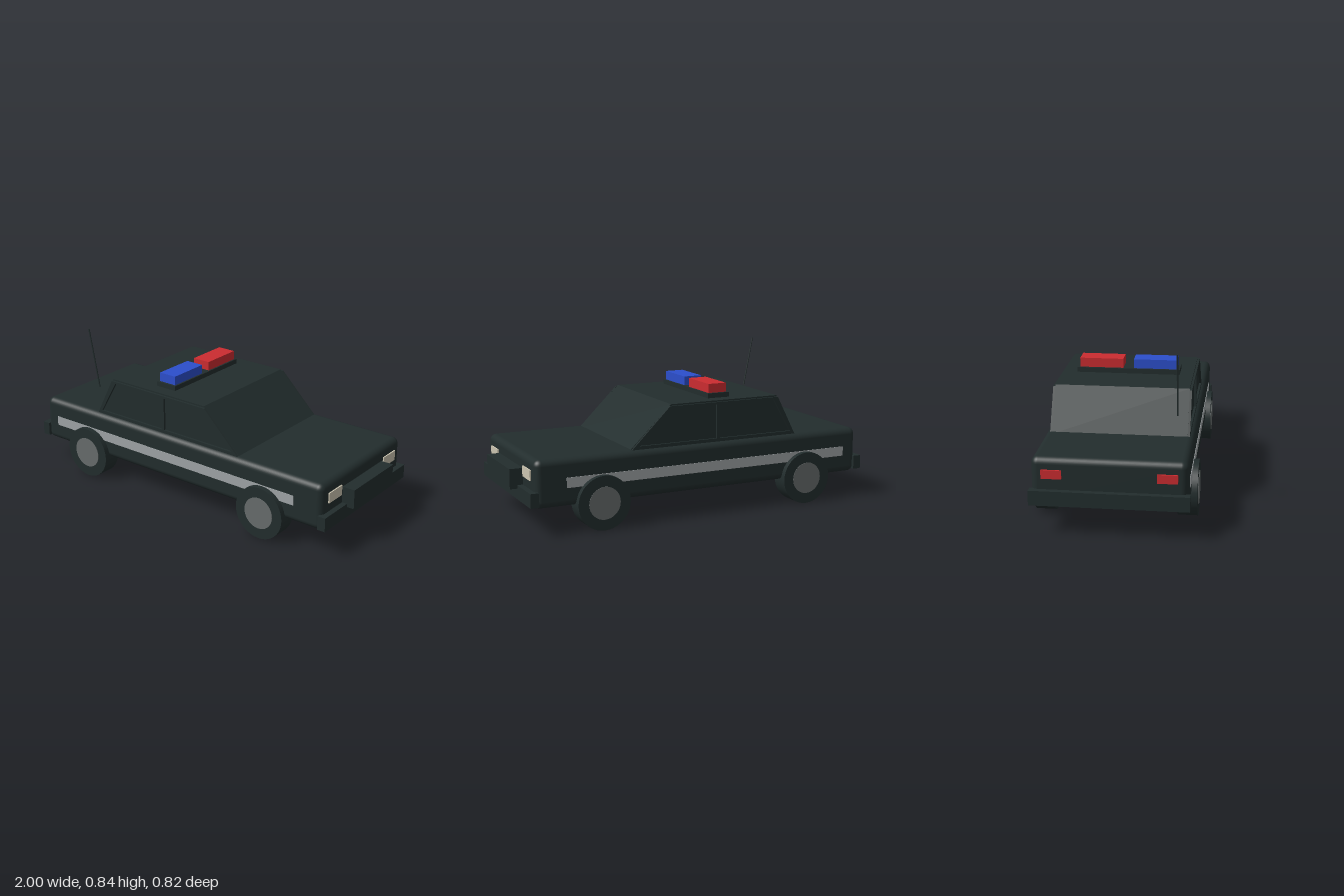
import * as THREE from 'three';
import { RoundedBoxGeometry } from 'three/addons/geometries/RoundedBoxGeometry.js';

const material = (name, color) => {
  const m = new THREE.MeshStandardMaterial({ color });
  m.name = name;
  return m;
};

export function createModel() {
  const car = new THREE.Group();
  car.name = 'patrolCar';
  const paint = material('dark paint', 0x222d2d);
  const silver = material('silver stripe', 0x9ea3a5);
  const steel = material('hub steel', 0x666b6b);
  const lens = material('headlight lens', 0xcbc4b0);
  const red = material('red lens', 0xcb2c30);
  const blue = material('blue lens', 0x2c4ecb);

  const add = (name, geometry, mat, x = 0, y = 0, z = 0) => {
    const mesh = new THREE.Mesh(geometry, mat);
    mesh.name = name;
    mesh.position.set(x, y, z);
    car.add(mesh);
    return mesh;
  };
  // Box given by its limits on each axis
  const box = (name, mat, x0, x1, y0, y1, z0, z1) =>
    add(name, new THREE.BoxGeometry(x1 - x0, y1 - y0, z1 - z0), mat,
      (x0 + x1) / 2, (y0 + y1) / 2, (z0 + z1) / 2);
  const points = (list) => list.map(([x, y]) => new THREE.Vector2(x, y));
  const extrude = (shape, depth) =>
    new THREE.ExtrudeGeometry(shape, { depth, bevelEnabled: false });

  // Rounded lower body
  add('body', new RoundedBoxGeometry(1.9, 0.25, 0.76, 4, 0.035), paint, -0.02, 0.265, 0);

  // Sloped cabin
  const cabin = new THREE.Shape(points([[-0.585, 0.38], [0.41, 0.38], [0.17, 0.608], [-0.465, 0.608]]));
  add('cabin', extrude(cabin, 0.69), paint, 0, 0, -0.345);

  // Raised frames around the side windows
  const frame = new THREE.Shape(points([[-0.58, 0.385], [0.4, 0.385], [0.18, 0.6], [-0.469, 0.6]]));
  frame.holes.push(
    new THREE.Path(points([[-0.55, 0.405], [-0.443, 0.588], [-0.115, 0.588], [-0.115, 0.405]])),
    new THREE.Path(points([[-0.095, 0.405], [-0.095, 0.588], [0.165, 0.588], [0.355, 0.405]])));
  for (const z of [0.345, -0.357]) add('windowFrame', extrude(frame, 0.012), paint, 0, 0, z);

  // Roof light bar
  box('lightBarBase', paint, -0.212, -0.085, 0.6, 0.634, -0.273, 0.273);
  box('redLight', red, -0.2, -0.095, 0.634, 0.683, -0.26, -0.028);
  box('blueLight', blue, -0.2, -0.095, 0.634, 0.683, 0.028, 0.26);

  // Bumpers and push bar
  box('frontBumper', paint, 0.915, 0.96, 0.155, 0.23, -0.39, 0.39);
  box('rearBumper', paint, -1, -0.955, 0.155, 0.23, -0.39, 0.39);
  box('pushBar', paint, 0.925, 1, 0.212, 0.317, -0.19, 0.19);

  const tyre = new THREE.CylinderGeometry(0.143, 0.143, 0.1, 40).rotateX(Math.PI / 2);
  const hub = new THREE.CylinderGeometry(0.086, 0.086, 0.105, 32).rotateX(Math.PI / 2);
  for (const side of [1, -1]) {
    // Lamps and side stripe
    const z0 = side > 0 ? 0.204 : -0.32;
    box('headlight', lens, 0.928, 0.937, 0.278, 0.333, z0, z0 + 0.116);
    box('tailLight', red, -0.979, -0.968, 0.286, 0.33, side * 0.28 - 0.05, side * 0.28 + 0.05);
    box('sideStripe', silver, -0.885, 0.765, 0.237, 0.29, side * 0.38 - 0.003, side * 0.38 + 0.003);
    // Wheels
    for (const x of [-0.63, 0.573]) {
      add('tyre', tyre, paint, x, 0.143, side * 0.36);
      add('hub', hub, steel, x, 0.143, side * 0.36);
    }
  }

  // Leaning antenna
  const antenna = add('antenna', new THREE.CylinderGeometry(0.004, 0.004, 0.336, 8), paint, -0.652, 0.676, 0.297);
  antenna.rotation.z = Math.atan2(0.066, 0.33);
  return car;
}
